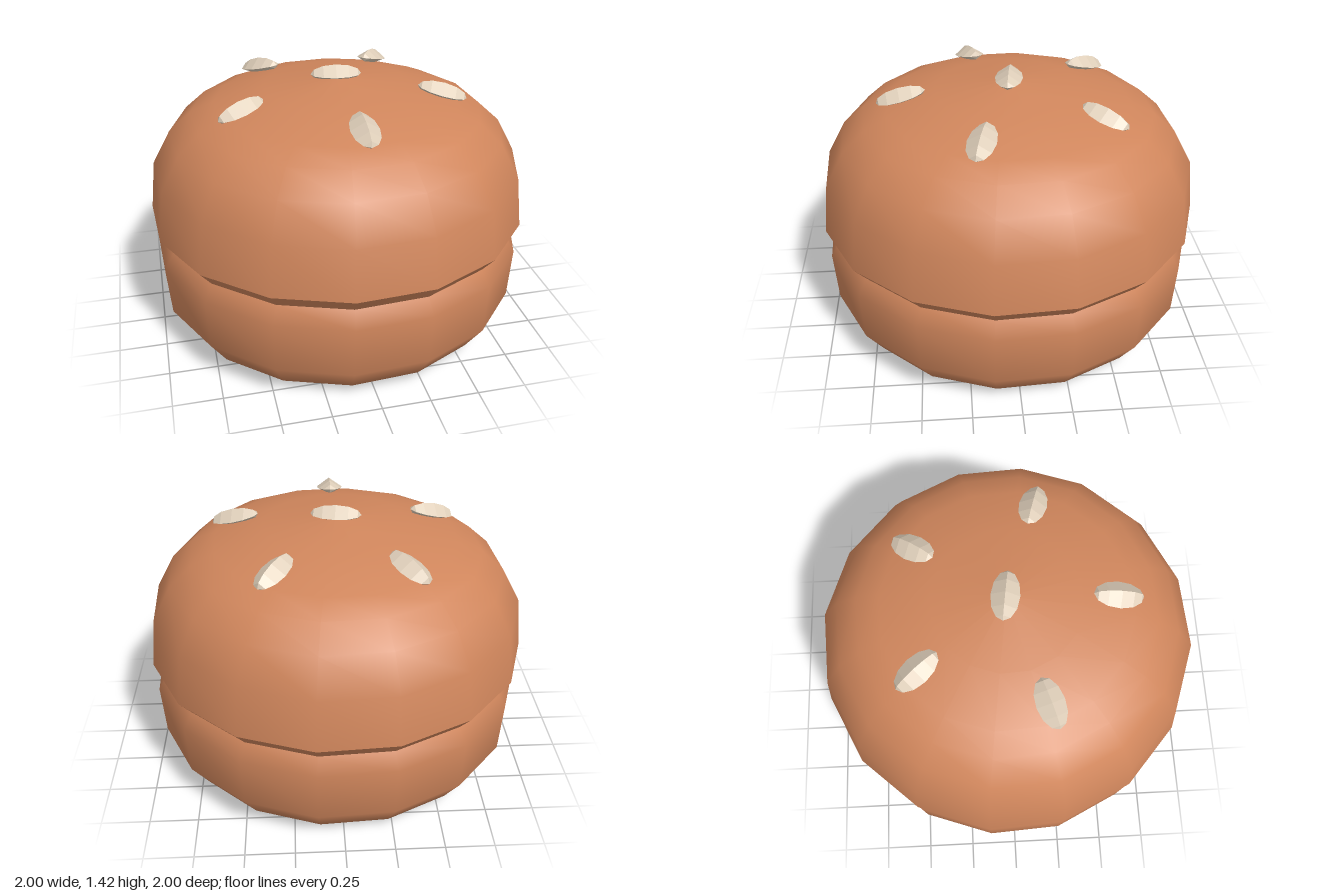
import * as THREE from 'three';

const SIDES = 16;
const TURN = -0.137; // slight turn of the bun about y

const bunMaterial = new THREE.MeshStandardMaterial({ color: 0xd0865c });
bunMaterial.name = 'toasted bun';
const seedMaterial = new THREE.MeshStandardMaterial({ color: 0xdfcfba });
seedMaterial.name = 'sesame cream';

// Smooth lathed part from [radius, height] pairs, bottom to top
function lathe(name, profile) {
  const points = profile.map(([r, y]) => new THREE.Vector2(r, y));
  const mesh = new THREE.Mesh(new THREE.LatheGeometry(points, SIDES, TURN), bunMaterial);
  mesh.name = name;
  return mesh;
}

// Faceted four-sided seed stretched between two tips
function seed(from, to) {
  const a = new THREE.Vector3(...from);
  const b = new THREE.Vector3(...to);
  const along = b.clone().sub(a);
  const half = along.length() / 2;
  along.normalize();
  const across = along.clone().cross(new THREE.Vector3(0, 1, 0)).normalize();
  const up = across.clone().cross(along);

  const geometry = new THREE.SphereGeometry(1, 4, 6);
  const p = geometry.attributes.position;
  for (let i = 0; i < p.count; i++) {
    const z = p.getZ(i);
    p.setXYZ(i, p.getX(i) * 0.072, p.getY(i) * half, z * (z > 0 ? 0.05 : 0.035));
  }
  // Split the faces so every facet gets its own normal
  const faceted = geometry.toNonIndexed();
  faceted.computeVertexNormals();
  faceted.applyMatrix4(new THREE.Matrix4().makeBasis(across, along, up));
  const mesh = new THREE.Mesh(faceted, seedMaterial);
  mesh.position.copy(a).add(b).multiplyScalar(0.5);
  mesh.name = 'seed';
  return mesh;
}

export function createModel() {
  const model = new THREE.Group();
  model.name = 'bun';

  model.add(lathe('lowerBun', [
    [0, 0], [0.63, 0.003], [0.885, 0.065], [0.98, 0.207], [0.995, 0.48], [0.943, 0.565],
  ]));
  // Undercut between the two halves
  model.add(lathe('undercut', [[0.943, 0.565], [1.009, 0.647]]));
  model.add(lathe('upperBun', [
    [1.009, 0.647], [0.977, 0.91], [0.88, 1.087], [0.762, 1.193],
    [0.64, 1.245], [0.38, 1.322], [0, 1.36],
  ]));

  // Seeds: one on the crown, five around it sloping with the dome
  const seeds = new THREE.Group();
  seeds.name = 'seeds';
  seeds.add(seed([-0.13, 1.374, -0.025], [0.13, 1.374, 0.012]));
  const ring = [
    [0.01, 0.425, 0.01, 0.68],
    [0.405, 0.125, 0.65, 0.195],
    [-0.405, 0.14, -0.64, 0.22],
    [0.24, -0.355, 0.39, -0.56],
    [-0.255, -0.345, -0.41, -0.548],
  ];
  for (const [x0, z0, x1, z1] of ring) seeds.add(seed([x0, 1.326, z0], [x1, 1.257, z1]));
  model.add(seeds);
  return model;
}
